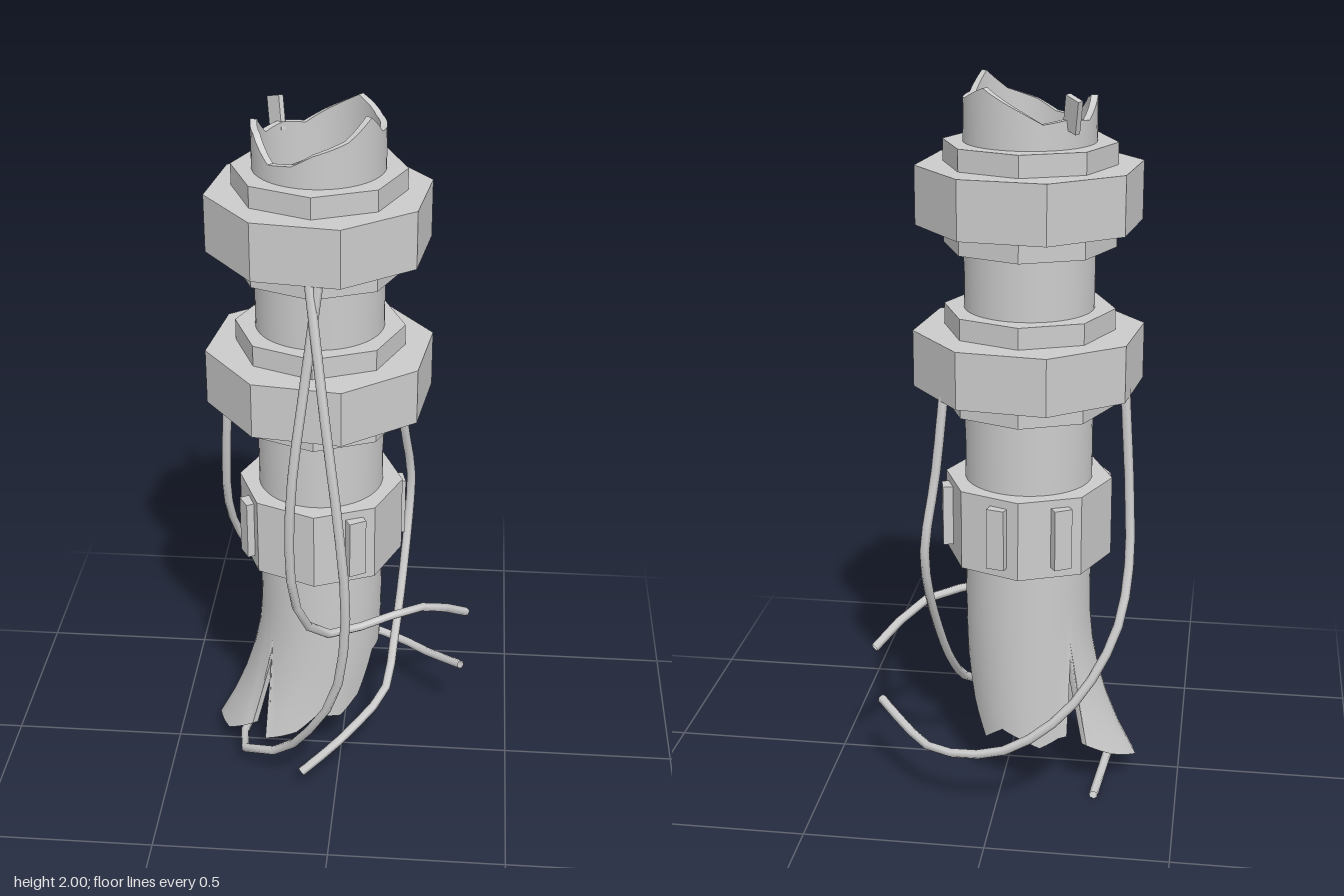
import * as THREE from 'three';
import { toCreasedNormals } from 'three/addons/utils/BufferGeometryUtils.js';

const RAD = Math.PI / 180;
const R = 0.175; // pipe radius
const WALL = 0.018;

const smooth = new THREE.MeshStandardMaterial({ color: 0xcccccc, side: THREE.DoubleSide });
const flat = new THREE.MeshStandardMaterial({ color: 0xcccccc, flatShading: true });

// Torn edges: [angle from +x towards +z in degrees, height]
const TOP = [[0, 1.945], [18, 1.95], [36, 2.0], [60, 1.95], [90, 1.92], [108, 1.89], [132, 1.88], [156, 1.94],
  [180, 1.955], [204, 1.9], [228, 1.91], [252, 1.9], [270, 1.93], [306, 1.985], [336, 1.95], [360, 1.945]];
const BOTTOM = [[0, 0.37], [24, 0.37], [42, 0.23], [66, 0.18], [90, 0.2], [108, 0.14], [132, 0.1], [138, 0.35],
  [144, 0.13], [162, 0.07], [180, 0.06], [198, 0.1], [216, 0.15], [222, 0.4], [228, 0.18], [252, 0.15],
  [270, 0.18], [288, 0.2], [312, 0.15], [330, 0.25], [342, 0.37], [360, 0.37]];
// Radius each petal bends to near the ground
const FLARE = [[0, 0.14], [45, 0.13], [90, 0.18], [120, 0.225], [138, 0.25], [150, 0.28], [180, 0.31],
  [216, 0.25], [234, 0.18], [270, 0.175], [315, 0.15], [360, 0.14]];

function lookUp(table, angle) {
  const a = ((angle % 360) + 360) % 360;
  for (let i = 1; i < table.length; i++) {
    const [a0, v0] = table[i - 1], [a1, v1] = table[i];
    if (a <= a1) return v0 + (v1 - v0) * (a - a0) / (a1 - a0);
  }
  return table[0][1];
}

// Pipe wall: each column runs up the outside, over the rim and down the inside
function pipeGeometry() {
  const columns = 60, rows = 8;
  const positions = [], index = [];
  for (let i = 0; i < columns; i++) {
    const angle = 90 - i * 360 / columns;
    const low = lookUp(BOTTOM, angle), high = lookUp(TOP, angle), bend = lookUp(FLARE, angle);
    const heights = [];
    for (let k = 0; k <= rows - 2; k++) heights.push(low + (0.6 - low) * k / (rows - 2));
    heights.push(1.8, high);
    const add = (y, inset) => {
      const t = Math.max(0, (0.55 - y) / 0.48);
      const r = R + (bend - R) * t * t - inset;
      positions.push(r * Math.cos(angle * RAD), y, r * Math.sin(angle * RAD));
    };
    heights.forEach(y => add(y, 0));
    heights.reverse().forEach(y => add(y, WALL));
  }
  const n = positions.length / 3 / columns;
  for (let i = 0; i < columns; i++) {
    for (let j = 0; j < n; j++) {
      const a = i * n + j, d = i * n + (j + 1) % n;
      const b = ((i + 1) % columns) * n + j, c = ((i + 1) % columns) * n + (j + 1) % n;
      index.push(a, b, d, c, d, b);
    }
  }
  const g = new THREE.BufferGeometry();
  g.setAttribute('position', new THREE.Float32BufferAttribute(positions, 3));
  g.setIndex(index);
  return toCreasedNormals(g, 0.7);
}

// Eight-sided hollow ring
function ring(name, radius, y0, y1, turn = 0) {
  const bore = 0.17;
  const profile = [[bore, y0], [radius, y0], [radius, y1], [bore, y1], [bore, y0]].map(p => new THREE.Vector2(...p));
  const mesh = new THREE.Mesh(new THREE.LatheGeometry(profile, 8), flat);
  mesh.rotation.y = turn * RAD;
  mesh.name = name;
  return mesh;
}

// Loose hanging cables
const CABLES = {
  frontCableA: [[-0.04, 1.63, 0.22], [-0.075, 1.35, 0.27], [-0.105, 1.1, 0.31], [-0.115, 0.87, 0.31],
    [-0.1, 0.68, 0.28], [-0.03, 0.53, 0.18], [0.24, 0.5, -0.02], [0.365, 0.4, -0.15]],
  frontCableB: [[-0.065, 1.63, 0.22], [-0.02, 1.3, 0.31], [0.025, 0.95, 0.365], [0.04, 0.72, 0.37],
    [0.01, 0.45, 0.345], [-0.06, 0.29, 0.3], [-0.17, 0.12, 0.2], [-0.285, 0.06, 0.12], [-0.27, 0.01, -0.21]],
  backCable: [[-0.33, 1.2, -0.14], [-0.35, 0.9, -0.17], [-0.355, 0.72, -0.21], [-0.33, 0.56, -0.28],
    [-0.24, 0.39, -0.34], [-0.13, 0.28, -0.365], [-0.01, 0.21, -0.36], [0.16, 0.178, -0.31],
    [0.24, 0.185, -0.24], [0.355, 0.225, -0.12]],
  leftCable: [[0.14, 1.2, -0.24], [0.16, 0.98, -0.27], [0.185, 0.78, -0.31], [0.182, 0.67, -0.29],
    [0.17, 0.5, -0.2], [0.155, 0.36, -0.1], [0.13, 0.23, 0.04], [0.08, 0.19, 0.1], [0, 0.14, 0.18], [-0.1, 0.07, 0.235]],
};

// Straight-segmented cable
function cable(name, points) {
  const path = new THREE.CurvePath();
  const v = points.map(p => new THREE.Vector3(...p));
  for (let i = 1; i < v.length; i++) path.add(new THREE.LineCurve3(v[i - 1], v[i]));
  const curve = new THREE.CatmullRomCurve3(v, false, 'centripetal');
  const mesh = new THREE.Mesh(new THREE.TubeGeometry(curve, v.length * 2, 0.013, 6), smooth);
  mesh.name = name;
  return mesh;
}

export function createModel() {
  const model = new THREE.Group();
  model.name = 'brokenPipe';
  const column = new THREE.Group();
  column.name = 'column';
  column.position.set(-0.062, 0, -0.048);
  model.add(column);

  const pipe = new THREE.Mesh(pipeGeometry(), smooth);
  pipe.name = 'tornPipe';
  column.add(pipe);

  // Five-sided lining inside the bore
  const liningMat = flat.clone();
  liningMat.side = THREE.DoubleSide;
  const lining = new THREE.Mesh(new THREE.CylinderGeometry(0.155, 0.148, 1.2, 5, 1, true), liningMat);
  lining.position.y = 1.2;
  lining.rotation.y = 54 * RAD;
  lining.name = 'innerLining';
  column.add(lining);

  // Collars
  column.add(
    ring('upperCollar', 0.231, 1.56, 1.835), ring('upperFlange', 0.303, 1.62, 1.777, 15),
    ring('middleCollar', 0.231, 1.12, 1.393), ring('middleFlange', 0.314, 1.18, 1.335, 15),
    ring('lowerCollar', 0.231, 0.69, 0.913));

  // Lugs round the lower collar
  for (const angle of [60, 150, 240, 285, 347]) {
    const lug = new THREE.Mesh(new THREE.BoxGeometry(0.05, 0.17, 0.04), flat);
    lug.position.set(0.22 * Math.cos(angle * RAD), 0.805, 0.22 * Math.sin(angle * RAD));
    lug.rotation.y = (90 - angle) * RAD;
    lug.name = 'lug';
    column.add(lug);
  }

  // Splinter on the torn top edge
  const splinter = new THREE.Mesh(new THREE.BoxGeometry(0.05, 0.09, 0.015), flat);
  splinter.position.set(-0.125, 1.925, -0.145);
  splinter.rotation.set(-0.2, -45 * RAD, 0.15);
  splinter.name = 'splinter';
  column.add(splinter);

  for (const [name, points] of Object.entries(CABLES)) model.add(cable(name, points));
  return model;
}
